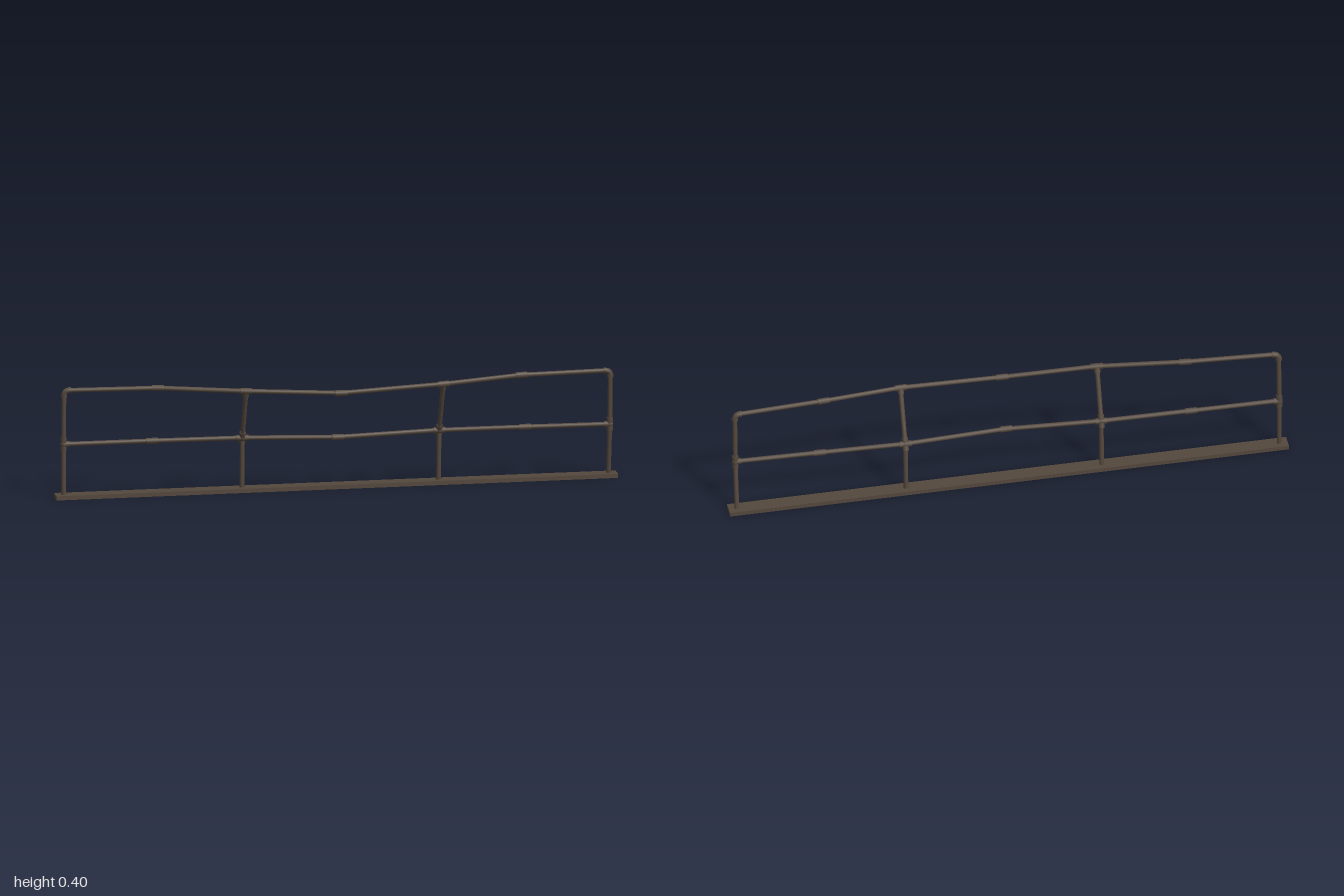
import * as THREE from 'three';

const V = (x, y, z) => new THREE.Vector3(x, y, z);
const PIPE = 0.0085, COLLAR = 0.0112, BEND = 0.02;

export function createModel() {
  const group = new THREE.Group();
  const rust = new THREE.MeshStandardMaterial({ color: 0x54483d });
  rust.name = 'weathered brown metal';

  const add = (geometry, name) => {
    const mesh = new THREE.Mesh(geometry, rust);
    mesh.name = name;
    group.add(mesh);
    return mesh;
  };

  // straight cylinder between two points
  const rod = (a, b, r, name) => {
    const dir = b.clone().sub(a);
    const mesh = add(new THREE.CylinderGeometry(r, r, dir.length(), 12), name);
    mesh.position.copy(a).add(b).multiplyScalar(0.5);
    mesh.quaternion.setFromUnitVectors(V(0, 1, 0), dir.normalize());
  };

  // chain of rods with round joints at the inner bends
  const pipe = (points, name) => {
    for (let i = 1; i < points.length; i++) rod(points[i - 1], points[i], PIPE, name);
    for (const p of points.slice(1, -1)) {
      add(new THREE.SphereGeometry(PIPE, 12, 8), name + 'Bend').position.copy(p);
    }
  };

  // short sleeve centred on a point, along a direction
  const collar = (p, dir, length, name) => {
    const half = dir.clone().normalize().multiplyScalar(length / 2);
    rod(p.clone().sub(half), p.clone().add(half), COLLAR, name);
  };

  // base plank
  add(new THREE.BoxGeometry(2, 0.015, 0.055), 'base').position.set(0, 0.0075, -0.0445);

  // bent rails, from the right end to the left end
  const topRail = [
    V(-0.97, 0.39, -0.037), V(-0.64, 0.39, -0.016), V(-0.335, 0.378, 0.037), V(0, 0.363, 0.061),
    V(0.365, 0.378, 0.05), V(0.65, 0.39, 0.01), V(0.97, 0.39, -0.008),
  ];
  const midRail = [
    V(-0.97, 0.195, -0.045), V(-0.655, 0.195, -0.042), V(-0.335, 0.194, -0.037), V(0, 0.189, -0.009),
    V(0.365, 0.194, -0.033), V(0.67, 0.195, -0.025), V(0.97, 0.195, -0.017),
  ];
  const last = topRail.length - 1;

  // posts, kinked at the middle rail
  for (const i of [0, 2, 4, last]) {
    const foot = V(topRail[i].x, 0.012, -0.045), mid = midRail[i], top = topRail[i];
    const up = top.clone().sub(mid).normalize();
    const atEnd = i === 0 || i === last;
    const end = atEnd ? top.clone().addScaledVector(up, -BEND) : top;
    pipe([foot, mid, end], 'post');
    collar(mid, up, 0.046, 'postCollar');
    add(new THREE.SphereGeometry(0.0125, 12, 8), 'postJoint').position.copy(mid);

    if (atEnd) {
      // rounded elbow joining post and top rail
      const along = topRail[i === 0 ? 1 : last - 1].clone().sub(top).normalize();
      const start = top.clone().addScaledVector(along, BEND);
      add(new THREE.TubeGeometry(new THREE.QuadraticBezierCurve3(end, top, start), 8, 0.0105, 12), 'elbow');
      collar(end, up, 0.008, 'elbowRim');
      collar(start, along, 0.008, 'elbowRim');
      topRail[i] = start;
    } else {
      collar(top.clone().addScaledVector(up, -0.012), up, 0.02, 'topTee');
    }
  }

  // rails and their sleeves
  for (const [points, name] of [[topRail, 'topRail'], [midRail, 'middleRail']]) {
    pipe(points, name);
    for (let i = 0; i <= last; i++) {
      const before = points[Math.max(i - 1, 0)], after = points[Math.min(i + 1, last)];
      const dir = after.clone().sub(before);
      if (i > 0 && i < last) {
        collar(points[i], dir, 0.042, name + 'Collar');
      } else if (name === 'middleRail') {
        const inward = dir.normalize().multiplyScalar(i === 0 ? 0.01 : -0.01);
        collar(points[i].clone().add(inward), dir, 0.02, 'endTee');
      }
    }
  }
  return group;
}
